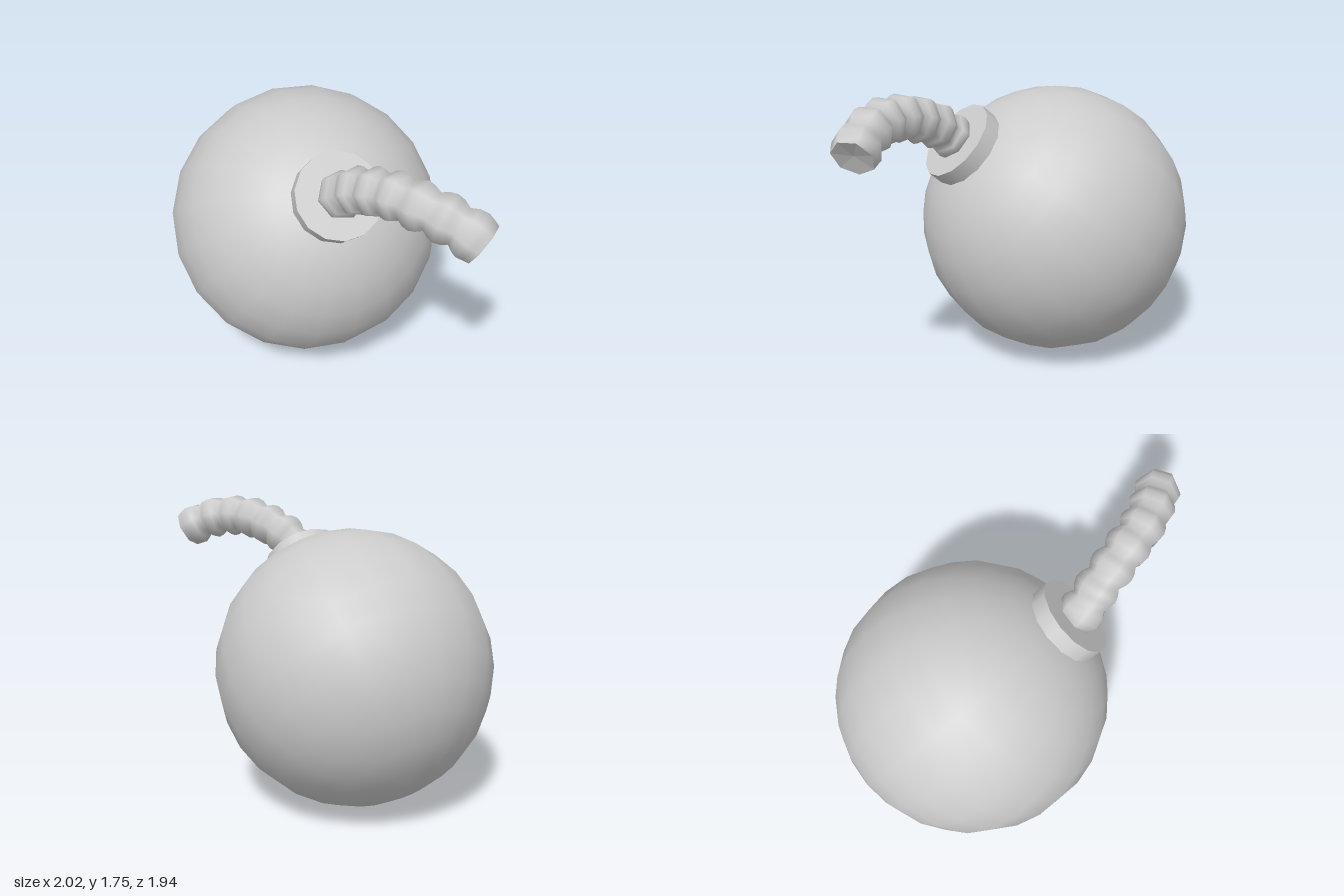
import * as THREE from 'three';
import { mergeVertices } from 'three/addons/utils/BufferGeometryUtils.js';

export function createModel() {
  const model = new THREE.Group();
  const material = new THREE.MeshStandardMaterial({ color: 0xcccccc });
  const center = new THREE.Vector3(-0.185, 0.825, -0.15);
  const axis = new THREE.Vector3(0.38, 0.66, 0.645).normalize();
  const tilt = new THREE.Quaternion().setFromUnitVectors(new THREE.Vector3(0, 1, 0), axis);

  function add(name, geometry, parent = model) {
    const mesh = new THREE.Mesh(geometry, material);
    mesh.name = name;
    parent.add(mesh);
    return mesh;
  }

  // Round body and its collar, both tilted toward the front left
  const bomb = new THREE.Group();
  bomb.name = 'tiltedBody';
  bomb.position.copy(center);
  bomb.quaternion.copy(tilt);
  model.add(bomb);
  add('body', new THREE.SphereGeometry(0.826, 20, 14), bomb);
  add('collar', new THREE.CylinderGeometry(0.25, 0.25, 0.14, 14), bomb).position.y = 0.813;

  // Curved fuse: a tube whose rings swell into a row of bulges
  const path = new THREE.CatmullRomCurve3([
    [0.14, 1.39, 0.41], [0.19, 1.46, 0.47], [0.28, 1.53, 0.53], [0.38, 1.58, 0.6],
    [0.49, 1.615, 0.67], [0.6, 1.625, 0.735], [0.72, 1.615, 0.785],
    [0.86, 1.57, 0.825], [0.95, 1.515, 0.845],
  ].map((p) => new THREE.Vector3(...p)));
  const bulges = 7, steps = 4, sides = 7, rings = bulges * steps;
  const tube = new THREE.TubeGeometry(path, rings, 1, sides);
  const pos = tube.attributes.position;
  const v = new THREE.Vector3();
  const endRing = [];
  for (let i = 0; i <= rings; i++) {
    const c = path.getPointAt(i / rings);
    const radius = 0.107 + 0.03 * Math.sin(Math.PI * ((i % steps) / steps)) + (i === rings ? 0.012 : 0);
    for (let j = 0; j <= sides; j++) {
      const k = i * (sides + 1) + j;
      v.fromBufferAttribute(pos, k).sub(c).multiplyScalar(radius).add(c);
      pos.setXYZ(k, v.x, v.y, v.z);
      if (i === rings) endRing.push(v.clone());
    }
  }
  tube.deleteAttribute('uv');
  tube.deleteAttribute('normal');
  const fuse = mergeVertices(tube);
  fuse.computeVertexNormals();
  add('fuse', fuse);

  // Slightly dished end of the fuse
  const tip = path.getPointAt(1).addScaledVector(path.getTangentAt(1), -0.015);
  const outward = path.getTangentAt(1);
  const fan = [];
  for (let j = 0; j < sides; j++) {
    const a = endRing[j], b = endRing[j + 1];
    const n = a.clone().sub(tip).cross(b.clone().sub(tip));
    fan.push(tip, ...(n.dot(outward) > 0 ? [a, b] : [b, a]));
  }
  const cap = new THREE.BufferGeometry().setFromPoints(fan);
  cap.computeVertexNormals();
  add('fuseEnd', cap);

  return model;
}
